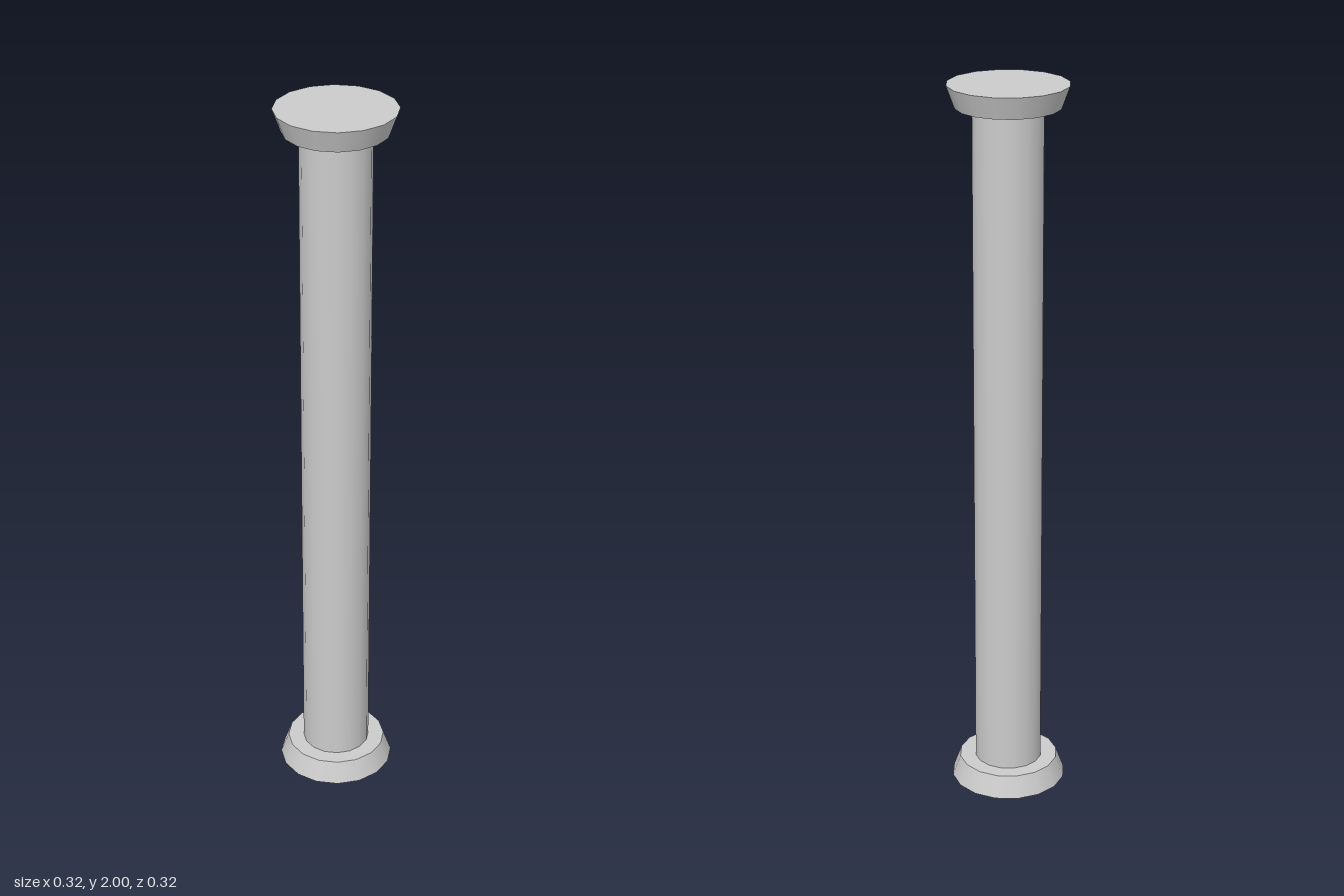
import * as THREE from 'three';

const SIDES = 16;
const HEIGHT = 2;
const FLARE_HEIGHT = 0.06;
const WIDE = 0.16, NARROW = 0.138, SHAFT = 0.094;

export function createModel() {
  const group = new THREE.Group();
  group.name = 'column';
  const material = new THREE.MeshStandardMaterial({ color: 0xcccccc });

  const addDrum = (name, topRadius, bottomRadius, height, y, open = false) => {
    const geometry = new THREE.CylinderGeometry(topRadius, bottomRadius, height, SIDES, 1, open);
    const mesh = new THREE.Mesh(geometry, material);
    mesh.name = name;
    mesh.position.y = y;
    group.add(mesh);
  };

  // Base tapering upward, plain shaft, and mirrored capital flaring out
  addDrum('base', NARROW, WIDE, FLARE_HEIGHT, FLARE_HEIGHT / 2);
  addDrum('shaft', SHAFT, SHAFT, HEIGHT - 2 * FLARE_HEIGHT, HEIGHT / 2, true);
  addDrum('capital', WIDE, NARROW, FLARE_HEIGHT, HEIGHT - FLARE_HEIGHT / 2);

  return group;
}
